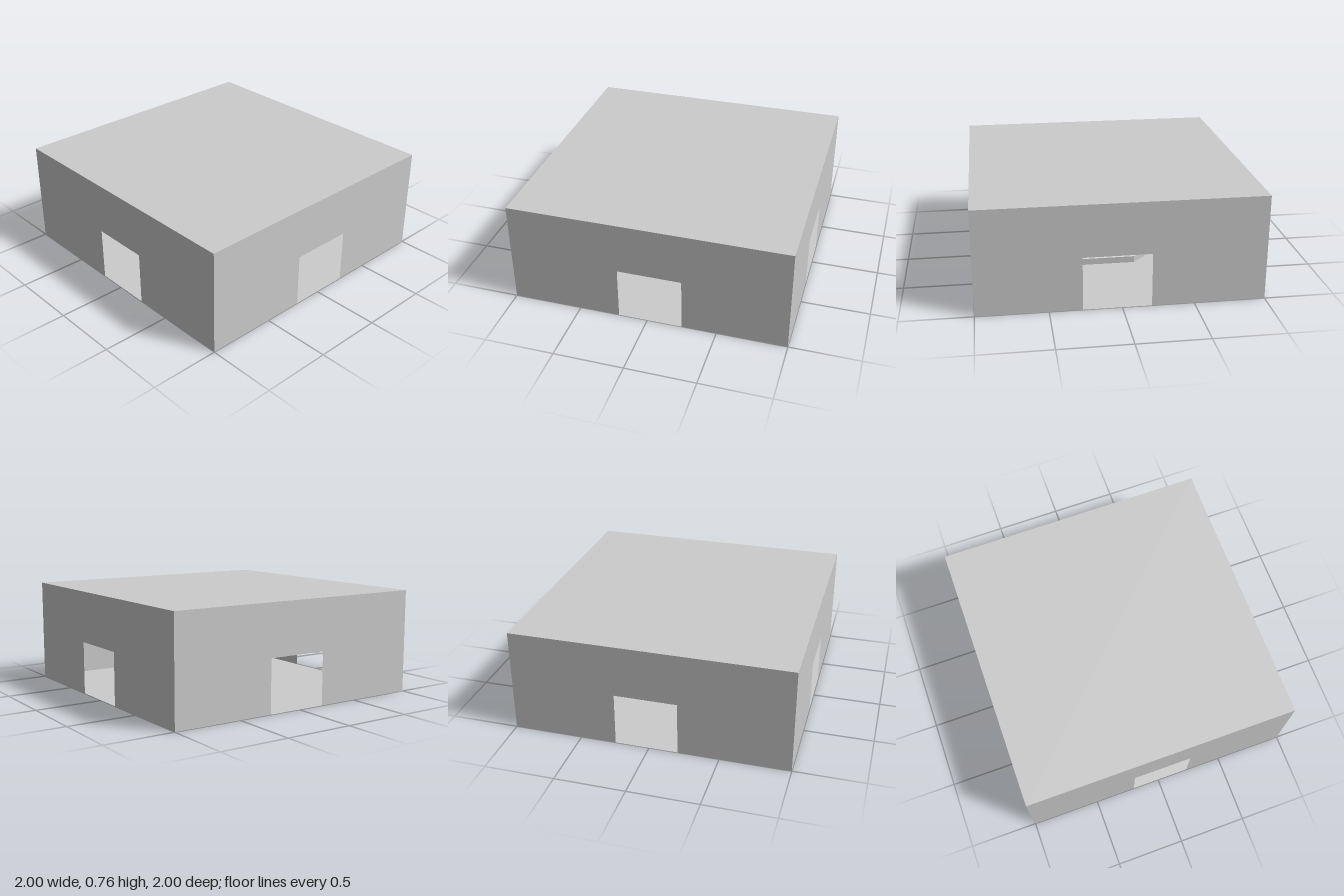
import * as THREE from 'three';
import { ConvexGeometry } from 'three/addons/geometries/ConvexGeometry.js';

const HEIGHT = 0.76;
const DOOR_HEIGHT = 0.385;

const grey = new THREE.MeshStandardMaterial({ color: 0xcccccc, flatShading: true });
const thinGrey = new THREE.MeshStandardMaterial({ color: 0xcccccc, flatShading: true, side: THREE.DoubleSide });

function part(name, geometry, material, y = 0) {
  const mesh = new THREE.Mesh(geometry, material);
  mesh.name = name;
  mesh.position.y = y;
  return mesh;
}

// Thin wall panel with a doorway between u0 and u1, turned to its side of the room
function wall(name, angle, u0, u1) {
  const outline = new THREE.Shape([
    [-1, 0], [u0, 0], [u0, DOOR_HEIGHT], [u1, DOOR_HEIGHT],
    [u1, 0], [1, 0], [1, HEIGHT], [-1, HEIGHT],
  ].map(([x, y]) => new THREE.Vector2(x, y)));
  const geometry = new THREE.ShapeGeometry(outline).translate(0, 0, 1).rotateY(angle);
  return part(name, geometry, thinGrey);
}

// Square slab whose top edges and corners are bevelled
function plinthGeometry() {
  const top = 0.2, base = 0.295, points = [];
  for (const sx of [-1, 1]) {
    for (const sz of [-1, 1]) {
      points.push(new THREE.Vector3(sx * top, 0.12, sz * top));
      for (const y of [0.053, 0.005]) {
        points.push(new THREE.Vector3(sx * base, y, sz * top));
        points.push(new THREE.Vector3(sx * top, y, sz * base));
      }
    }
  }
  return new ConvexGeometry(points);
}

// Faceted ball resting with one facet facing straight down
function orbGeometry() {
  const geometry = new THREE.IcosahedronGeometry(0.205, 1);
  const turn = new THREE.Quaternion().setFromUnitVectors(
    new THREE.Vector3(1, 1, 1).normalize(), new THREE.Vector3(0, -1, 0));
  return geometry.applyQuaternion(turn);
}

export function createModel() {
  const model = new THREE.Group();
  model.name = 'room';

  // Room shell
  model.add(
    part('floor', new THREE.PlaneGeometry(2, 2).rotateX(-Math.PI / 2), thinGrey),
    part('ceiling', new THREE.PlaneGeometry(2, 2).rotateX(-Math.PI / 2), thinGrey, HEIGHT),
    wall('frontWall', 0, -0.2, 0.235),
    wall('leftWall', Math.PI / 2, -0.21, 0.25),
    wall('backWall', Math.PI, -0.27, 0.205),
    wall('rightWall', -Math.PI / 2, -0.245, 0.205),
  );

  // Ball on a stem and plinth in the middle
  const centrepiece = new THREE.Group();
  centrepiece.name = 'centrepiece';
  centrepiece.add(
    part('plinth', plinthGeometry(), grey),
    part('stem', new THREE.CylinderGeometry(0.019, 0.019, 0.1, 8), grey, 0.165),
    part('ball', orbGeometry(), grey, 0.385),
  );
  model.add(centrepiece);
  return model;
}
